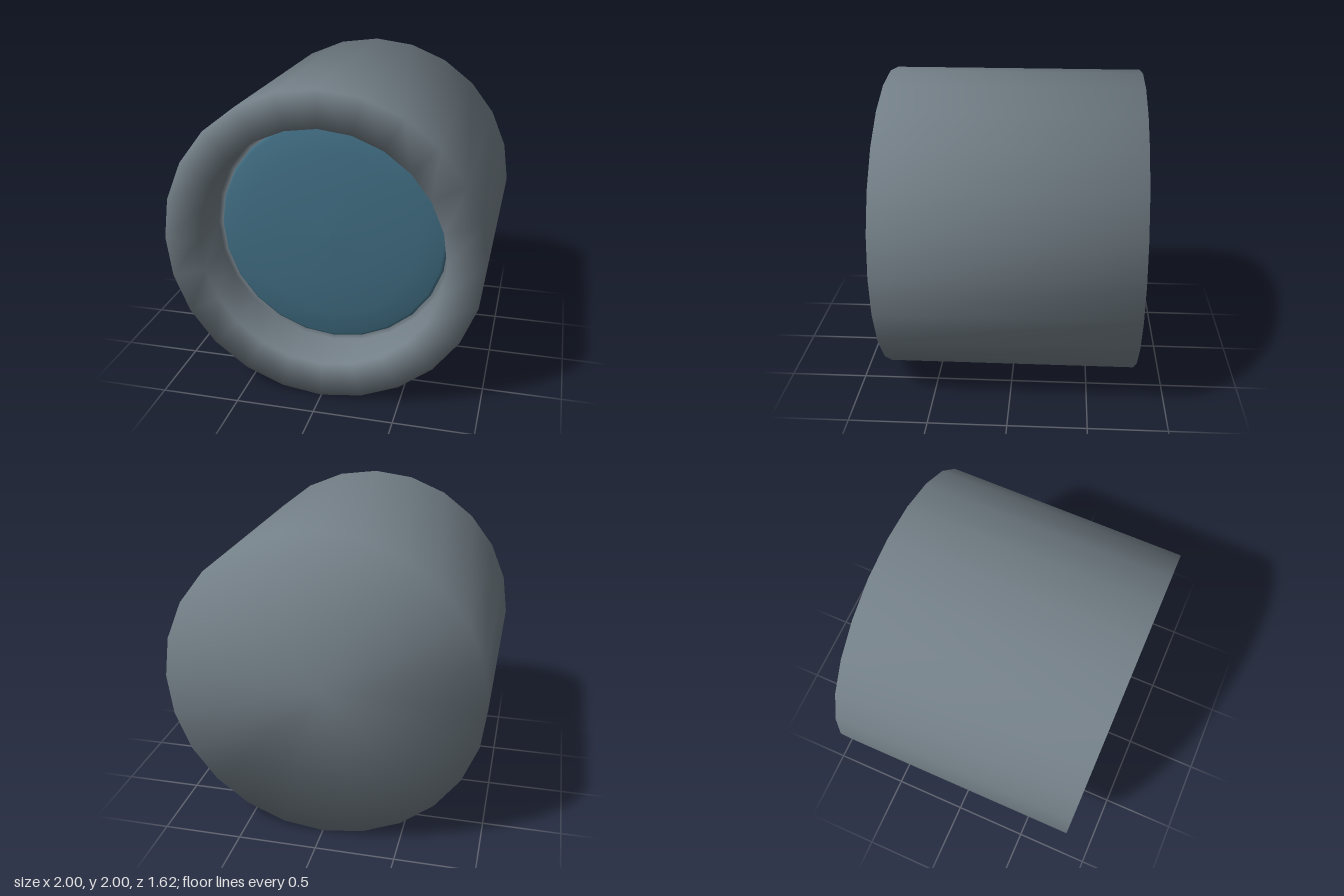
import * as THREE from 'three';

const SIDES = 24;

// Revolve [radius, z] points around the z axis
function turned(name, points, material) {
  const geometry = new THREE.LatheGeometry(points.map(([r, z]) => new THREE.Vector2(r, z)), SIDES);
  geometry.rotateX(Math.PI / 2);
  const mesh = new THREE.Mesh(geometry, material);
  mesh.name = name;
  mesh.position.y = 1;
  return mesh;
}

export function createModel() {
  const casing = new THREE.MeshStandardMaterial({ color: 0x737f87 });
  casing.name = 'slate grey casing';
  const glass = new THREE.MeshStandardMaterial({ color: 0x3f6b80 });
  glass.name = 'teal glass';

  const model = new THREE.Group();
  model.name = 'lensBarrel';

  // Closed back, straight barrel, flat lip, recess wall and lens seat, smooth all the way
  model.add(turned('barrel', [
    [0, -0.81], [1, -0.81], [1, 0.81], [0.77, 0.81], [0.77, 0.49], [0.738, 0.49],
  ], casing));

  // Domed lens with a softened edge
  model.add(turned('lens', [
    [0.738, 0.49], [0.715, 0.515], [0.55, 0.545], [0.3, 0.57], [0, 0.58],
  ], glass));

  return model;
}
